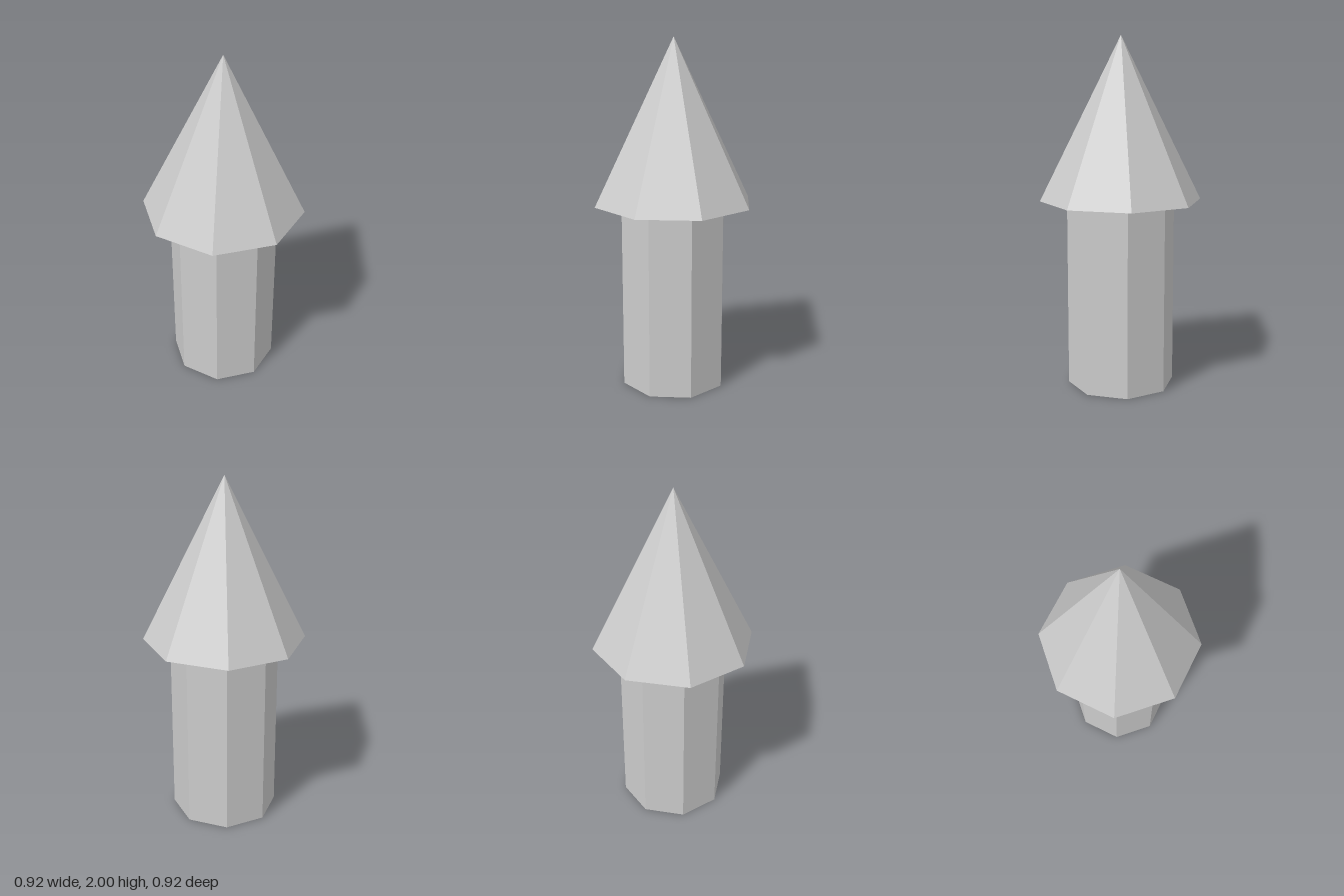
import * as THREE from 'three';

const SIDES = 8;
const SHAFT_HEIGHT = 1.077;
const SHAFT_RADIUS = 0.308;
const ROOF_HEIGHT = 2 - SHAFT_HEIGHT;
const ROOF_RADIUS = 0.4615;

export function createModel() {
  const group = new THREE.Group();
  group.name = 'tower';
  const material = new THREE.MeshStandardMaterial({ color: 0xcccccc, flatShading: true });

  // Adds a part resting on the given height
  const add = (name, geometry, height, base) => {
    const mesh = new THREE.Mesh(geometry, material);
    mesh.name = name;
    mesh.position.y = base + height / 2;
    group.add(mesh);
  };

  // Octagonal shaft
  add('shaft', new THREE.CylinderGeometry(SHAFT_RADIUS, SHAFT_RADIUS, SHAFT_HEIGHT, SIDES), SHAFT_HEIGHT, 0);

  // Overhanging pointed roof, closed underneath
  add('roof', new THREE.ConeGeometry(ROOF_RADIUS, ROOF_HEIGHT, SIDES), ROOF_HEIGHT, SHAFT_HEIGHT);

  return group;
}
